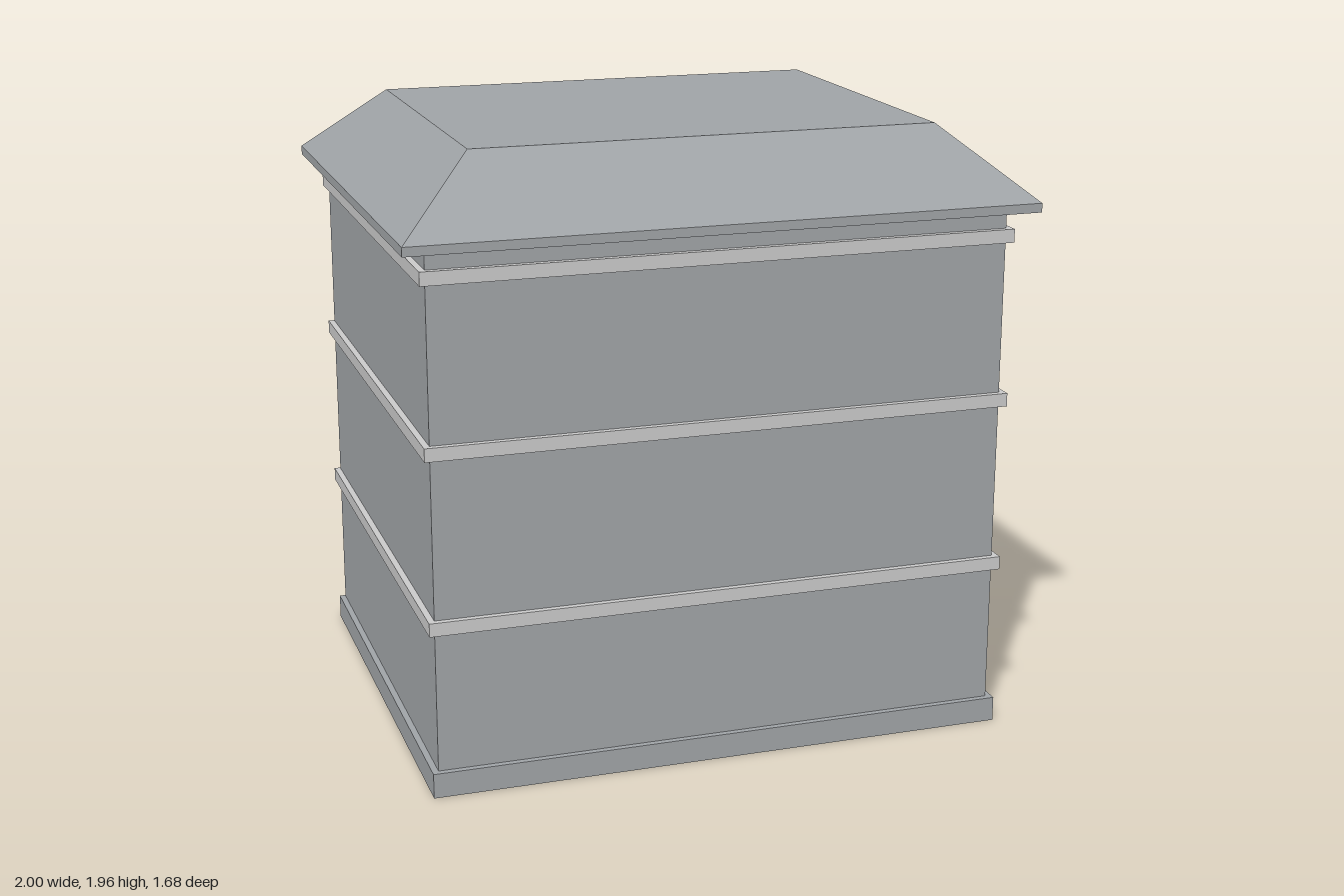
import * as THREE from 'three';

export function createModel() {
  const model = new THREE.Group();
  model.name = 'building';

  const mat = (name, color) => {
    const m = new THREE.MeshStandardMaterial({ color });
    m.name = name;
    return m;
  };
  const concrete = mat('concrete', 0xa0a4a7);
  const trim = mat('paleTrim', 0xcacaca);
  const glass = mat('windowGlass', 0x7992a5);

  const add = (parent, name, geometry, material) => {
    const mesh = new THREE.Mesh(geometry, material);
    mesh.name = name;
    parent.add(mesh);
    return mesh;
  };
  // Box given by its lower and upper limits on each axis
  const box = (parent, name, material, [x0, x1], [y0, y1], [z0, z1]) => {
    const mesh = add(parent, name, new THREE.BoxGeometry(x1 - x0, y1 - y0, z1 - z0), material);
    mesh.position.set((x0 + x1) / 2, (y0 + y1) / 2, (z0 + z1) / 2);
    return mesh;
  };

  // Main block and plinth
  box(model, 'walls', concrete, [-0.92, 0.92], [0, 1.7], [-0.76, 0.76]);
  box(model, 'plinth', concrete, [-0.94, 0.94], [0, 0.08], [-0.78, 0.78]);

  // Floor bands
  for (const y of [0.53, 1.08, 1.61]) {
    box(model, 'floorBand', trim, [-0.94, 0.94], [y, y + 0.043], [-0.78, 0.78]);
  }

  // Roof slab and sloped hip with a flat top
  box(model, 'eaves', concrete, [-1, 1], [1.713, 1.742], [-0.838, 0.838]);
  const hip = new THREE.BoxGeometry(2, 0.222, 1.676).toNonIndexed();
  const p = hip.attributes.position;
  for (let i = 0; i < p.count; i++) {
    if (p.getY(i) > 0) {
      p.setX(i, Math.sign(p.getX(i)) * 0.745);
      p.setZ(i, Math.sign(p.getZ(i)) * 0.587);
    }
  }
  hip.computeVertexNormals();
  add(model, 'hippedRoof', hip, concrete).position.y = 1.853;

  // Back facade panel with openings
  const columns = [-0.53, 0, 0.53];
  const floors = [0.2, 0.732, 1.264]; // sill heights
  const W = 0.105; // half width of an opening
  const H0 = 0.015, H1 = 0.25; // opening bottom and top above the sill
  const rect = (Type, x0, x1, y0, y1) => {
    const s = new Type();
    s.moveTo(x0, y0);
    s.lineTo(x1, y0);
    s.lineTo(x1, y1);
    s.lineTo(x0, y1);
    s.closePath();
    return s;
  };
  const facade = rect(THREE.Shape, -0.92, 0.895, 0.08, 1.69);
  for (const x of columns) {
    for (const y of floors) facade.holes.push(rect(THREE.Path, x - W, x + W, y + H0, y + H1));
  }
  const panel = new THREE.ExtrudeGeometry(facade, { depth: 0.015, bevelEnabled: false });
  add(model, 'backFacade', panel, concrete).position.z = -0.775;

  // Windows: glass, casing, bars, sill and lintel
  for (const x of columns) {
    for (const y of floors) {
      const w = new THREE.Group();
      w.name = 'window';
      w.position.set(x, y, 0);
      model.add(w);
      box(w, 'glass', glass, [-W, W], [H0, H1], [-0.766, -0.759]);
      for (const s of [-1, 1]) {
        const e = s * (W + 0.002);
        box(w, 'jamb', trim, [e - 0.01, e + 0.01], [0.008, 0.26], [-0.784, -0.76]);
      }
      box(w, 'topRail', trim, [-W, W], [0.24, 0.26], [-0.783, -0.76]);
      box(w, 'bottomRail', trim, [-W, W], [0.006, 0.024], [-0.783, -0.76]);
      box(w, 'mullion', trim, [-0.007, 0.007], [0.02, 0.245], [-0.776, -0.76]);
      box(w, 'transom', trim, [-W, W], [0.178, 0.19], [-0.775, -0.76]);
      box(w, 'sill', trim, [-0.132, 0.132], [-0.008, 0.008], [-0.798, -0.76]);
      box(w, 'lintel', trim, [-0.127, 0.127], [0.256, 0.27], [-0.791, -0.76]);
    }
  }

  return model;
}
